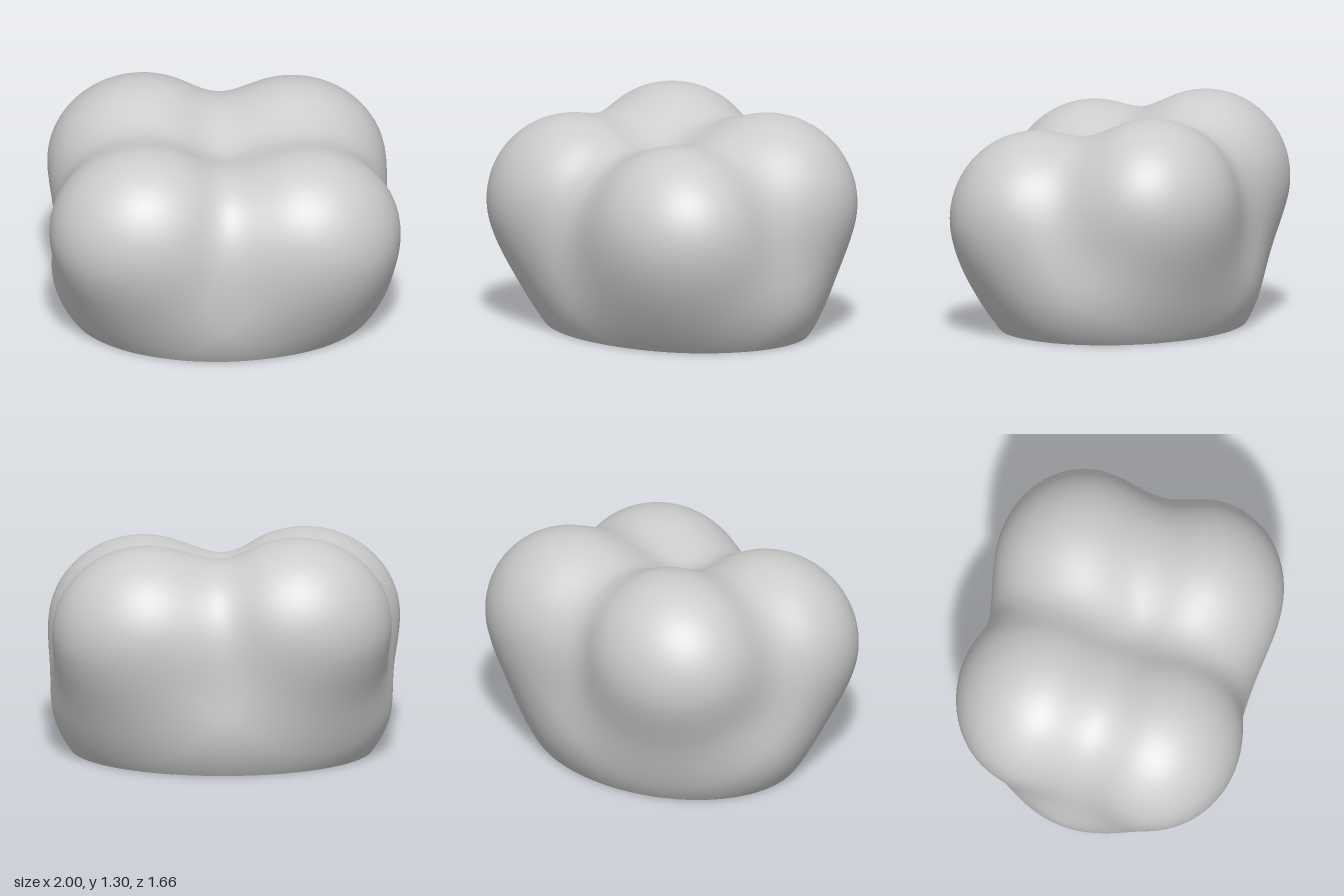
import * as THREE from 'three';

// ellipsoids: centre, radii (a wide base and four puffs)
const base = { c: [0.01, 0.3, -0.02], r: [0.97, 0.64, 0.765] };
const puffs = [
  { c: [-0.46, 0.7, 0.34], r: [0.54, 0.5, 0.485] },
  { c: [0.46, 0.65, 0.34], r: [0.54, 0.5, 0.485] },
  { c: [-0.42, 0.8, -0.35], r: [0.54, 0.5, 0.48] },
  { c: [0.43, 0.75, -0.35], r: [0.54, 0.5, 0.48] },
];
const BLEND = 0.25;
const CENTRE_Y = 0.45;

function ellipsoidDistance({ c, r }, p) {
  const d = p.map((v, i) => (v - c[i]) / r[i]);
  const k0 = Math.hypot(...d);
  const k1 = Math.hypot(d[0] / r[0], d[1] / r[1], d[2] / r[2]);
  return k1 < 1e-6 ? -Math.min(...r) : (k0 * (k0 - 1)) / k1;
}

function smoothMin(a, b) {
  const h = Math.max(BLEND - Math.abs(a - b), 0) / BLEND;
  return Math.min(a, b) - (h * h * BLEND) / 4;
}

function cloudDistance(p) {
  return puffs.reduce((d, e) => smoothMin(d, ellipsoidDistance(e, p)), ellipsoidDistance(base, p));
}

// distance along a ray from inside the cloud to its skin
function reach(y, dir) {
  let lo = 0, hi = 2;
  for (let i = 0; i < 24; i++) {
    const t = (lo + hi) / 2;
    if (cloudDistance([dir[0] * t, y + dir[1] * t, dir[2] * t]) < 0) lo = t;
    else hi = t;
  }
  return lo;
}

function createModel() {
  const around = 160, rings = 90;
  const pos = [], index = [], rim = [];

  // rings rise from the flat foot to the crown
  const azimuths = Array.from({ length: around }, (_, i) => (i / around) * Math.PI * 2);
  for (const a of azimuths) {
    const t = reach(0, [Math.cos(a), 0, Math.sin(a)]);
    rim.push(t);
  }
  for (let j = 0; j < rings; j++) {
    azimuths.forEach((a, i) => {
      const low = -Math.atan2(CENTRE_Y, rim[i]);
      const e = low + (Math.PI / 2 - low) * (j / rings);
      const dir = [Math.cos(e) * Math.cos(a), Math.sin(e), Math.cos(e) * Math.sin(a)];
      const t = j === 0 ? Math.hypot(rim[i], CENTRE_Y) : reach(CENTRE_Y, dir);
      pos.push(dir[0] * t, CENTRE_Y + dir[1] * t, dir[2] * t);
    });
  }
  const top = rings * around;
  pos.push(0, CENTRE_Y + reach(CENTRE_Y, [0, 1, 0]), 0);
  for (let j = 0; j < rings; j++) {
    for (let i = 0; i < around; i++) {
      const n = (i + 1) % around;
      const a = j * around + i, b = j * around + n;
      if (j === rings - 1) index.push(a, top, b);
      else index.push(a, a + around, b, b, a + around, b + around);
    }
  }
  const skin = new THREE.BufferGeometry();
  skin.setAttribute('position', new THREE.Float32BufferAttribute(pos, 3));
  skin.setIndex(index);
  skin.computeVertexNormals();

  const cloudGrey = new THREE.MeshStandardMaterial({ color: 0xcccccc });
  cloudGrey.name = 'cloudGrey';

  const body = new THREE.Mesh(skin, cloudGrey);
  body.name = 'cloudBody';

  // flat underside
  const outline = new THREE.Shape(
    azimuths.map((a, i) => new THREE.Vector2(Math.cos(a) * rim[i], Math.sin(a) * rim[i])));
  const foot = new THREE.Mesh(new THREE.ShapeGeometry(outline).rotateX(Math.PI / 2), cloudGrey);
  foot.name = 'flatUnderside';

  const group = new THREE.Group();
  group.name = 'cloud';
  group.add(body, foot);
  return group;
}

export { createModel };
